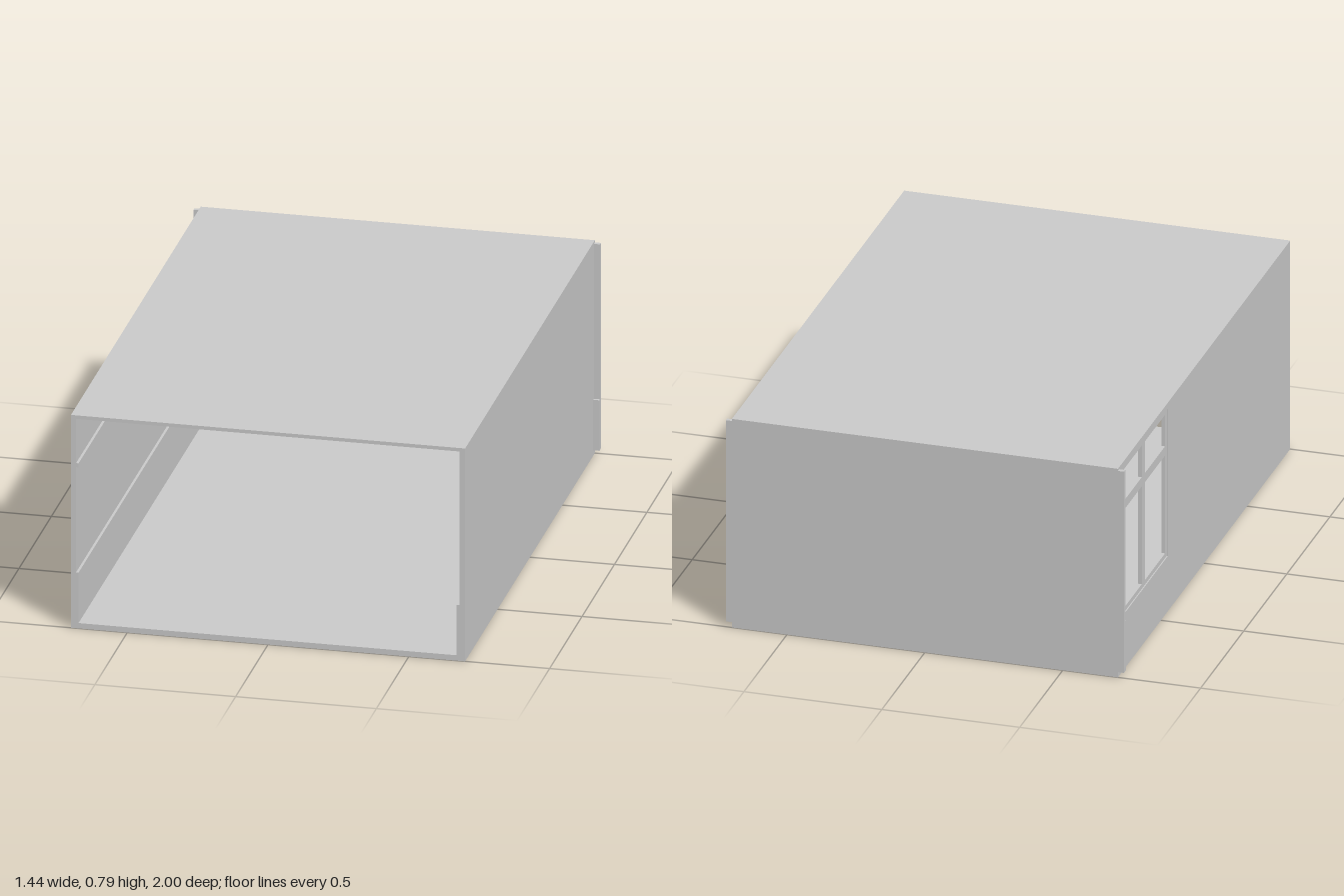
import * as THREE from 'three';

const grey = new THREE.MeshStandardMaterial({ color: 0xcccccc, flatShading: true });

export function createModel() {
  const room = new THREE.Group();
  room.name = 'room';

  const add = (name, geometry) => {
    const mesh = new THREE.Mesh(geometry, grey);
    mesh.name = name;
    room.add(mesh);
  };

  // Box given by its extents on each axis
  const box = (name, [x0, x1], [y0, y1], [z0, z1]) =>
    add(name, new THREE.BoxGeometry(x1 - x0, y1 - y0, z1 - z0)
      .translate((x0 + x1) / 2, (y0 + y1) / 2, (z0 + z1) / 2));

  const trace = (path, [z0, z1], [y0, y1]) => {
    path.moveTo(z0, y0);
    path.lineTo(z1, y0);
    path.lineTo(z1, y1);
    path.lineTo(z0, y1);
    path.closePath();
    return path;
  };

  // Upright panel facing x, with rectangular openings in the z-y plane
  const panel = (name, x, depth, z, y, openings) => {
    const shape = trace(new THREE.Shape(), z, y);
    openings.forEach(([hz, hy]) => shape.holes.push(trace(new THREE.Path(), hz, hy)));
    add(name, new THREE.ExtrudeGeometry(shape, { depth, bevelEnabled: false })
      .rotateY(-Math.PI / 2).translate(x, 0, 0));
  };

  // Floor and ceiling
  box('floor', [-0.7, 0.7], [0, 0.02], [-1, 1]);
  box('ceiling', [-0.7, 0.7], [0.78, 0.793], [-1, 1]);

  // Back wall and its dado reach slightly past the side walls
  box('backWall', [-0.722, 0.722], [0.02, 0.785], [-1, -0.985]);
  box('backDado', [-0.722, 0.722], [0.02, 0.208], [-0.985, -0.975]);

  // Side walls, the right one with the window opening
  const windowZ = [-0.965, -0.42], windowY = [0.21, 0.77];
  box('leftWall', [0.68, 0.7], [0.02, 0.78], [-0.985, 1]);
  panel('rightWall', -0.682, 0.018, [-0.985, 1], [0.02, 0.78], [[windowZ, windowY]]);
  box('leftDado', [0.67, 0.68], [0.02, 0.208], [-0.975, 1]);
  box('rightDado', [-0.682, -0.673], [0.02, 0.208], [-0.975, 1]);
  box('pictureRail', [-0.682, -0.673], [0.6, 0.615], [windowZ[1], 1]);

  // Window frame with two low and two high panes
  const panes = [];
  for (const z of [[-0.945, -0.71], [-0.675, -0.44]])
    for (const y of [[0.228, 0.6], [0.635, 0.755]]) panes.push([z, y]);
  panel('windowFrame', -0.683, 0.013, windowZ, windowY, panes);

  // Corner pillar with one slanted side
  const plan = new THREE.Shape([
    [0.515, 0.985], [0.57, 0.905], [0.68, 0.905], [0.68, 0.985],
  ].map(([x, y]) => new THREE.Vector2(x, y)));
  add('cornerPillar', new THREE.ExtrudeGeometry(plan, { depth: 0.76, bevelEnabled: false })
    .rotateX(-Math.PI / 2).translate(0, 0.02, 0));

  // Thin panel on the slanted side
  const slant = Math.atan2(0.055, 0.08);
  add('pillarPanel', new THREE.BoxGeometry(0.004, 0.615, 0.085)
    .rotateY(slant).translate(0.5425, 0.4225, -0.945));

  // Shallow ceiling lights
  for (const x of [-0.35, 0.35])
    box('ceilingLight', [x - 0.105, x + 0.105], [0.775, 0.78], [-0.8, 0.8]);

  return room;
}
